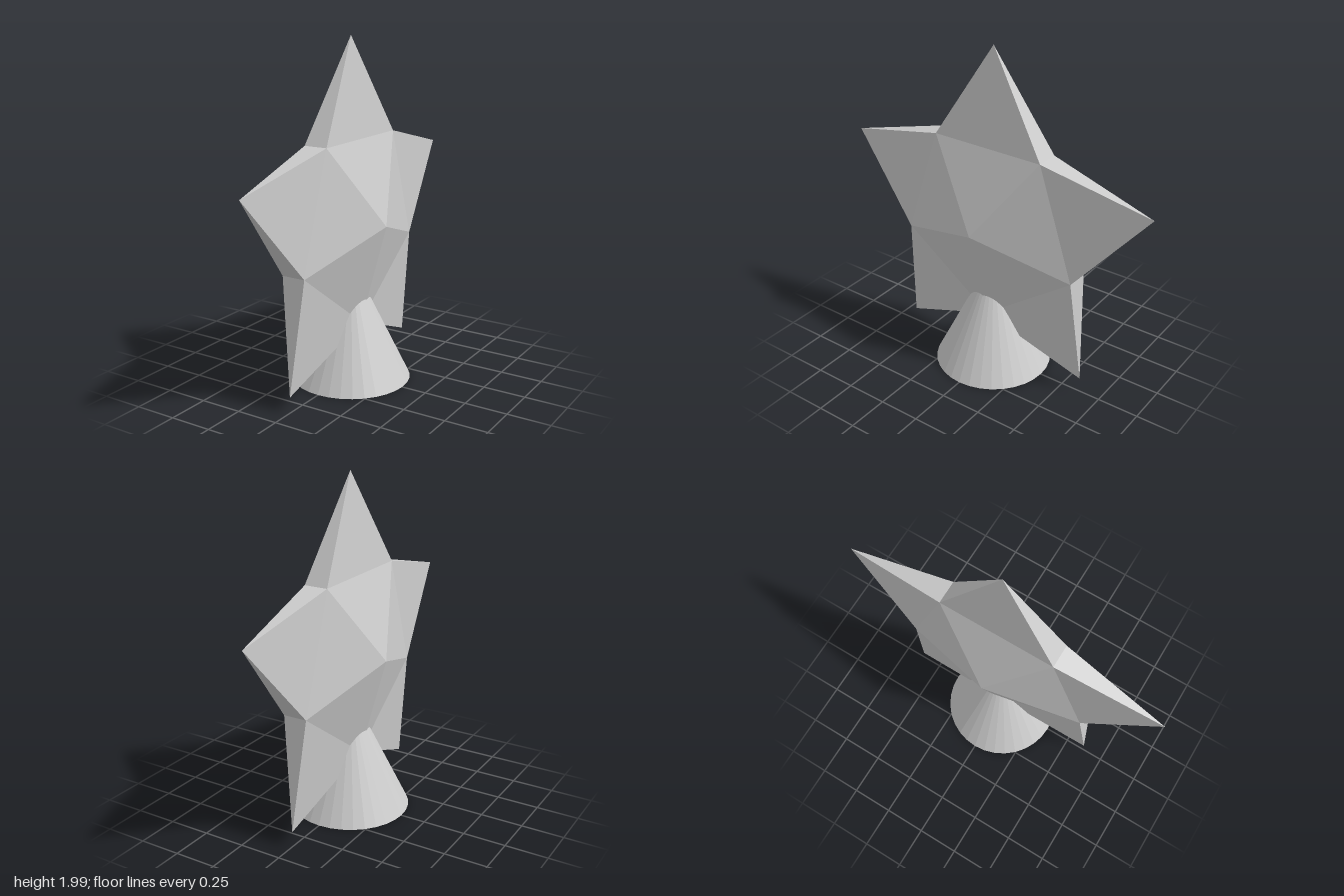
import * as THREE from 'three';

const CENTRE_Y = 0.94;

// Point on the star's plane: angle from straight up towards +z, offset sideways by x
function polar(radius, angle, x) {
  return [x, CENTRE_Y + radius * Math.cos(angle), radius * Math.sin(angle)];
}

// Five-pointed star: sharp tips, valleys with a narrow edge, raised centre on both sides
function starGeometry(tipR, valleyR, valleyX, centreX) {
  const step = Math.PI / 5;
  const corners = [];
  for (let i = 0; i < 5; i++) {
    const a = i * 2 * step;
    const tip = polar(tipR, a, 0);
    for (const s of [1, -1]) {
      const before = polar(valleyR, a - step, s * valleyX);
      const after = polar(valleyR, a + step, s * valleyX);
      const centre = [s * centreX, CENTRE_Y, 0];
      // Mirrored side swaps the corner order
      const [p, q] = s > 0 ? [before, after] : [after, before];
      corners.push(centre, p, q, p, tip, q);
    }
    // Narrow triangles along the rim on either side of the tip
    corners.push(tip, polar(valleyR, a + step, -valleyX), polar(valleyR, a + step, valleyX));
    corners.push(tip, polar(valleyR, a - step, valleyX), polar(valleyR, a - step, -valleyX));
  }
  const geometry = new THREE.BufferGeometry();
  geometry.setAttribute('position', new THREE.Float32BufferAttribute(corners.flat(), 3));
  geometry.computeVertexNormals();
  return geometry;
}

export function createModel() {
  const group = new THREE.Group();
  const material = new THREE.MeshStandardMaterial({ color: 0xcccccc, flatShading: true });

  const star = new THREE.Mesh(starGeometry(1.05, 0.597, 0.07, 0.235), material);
  star.name = 'star';

  // Conical stand, its point hidden inside the star
  const height = 0.715;
  const stand = new THREE.Mesh(new THREE.ConeGeometry(0.35, height, 32), material);
  stand.position.y = height / 2;
  stand.name = 'stand';

  group.add(star, stand);
  return group;
}
